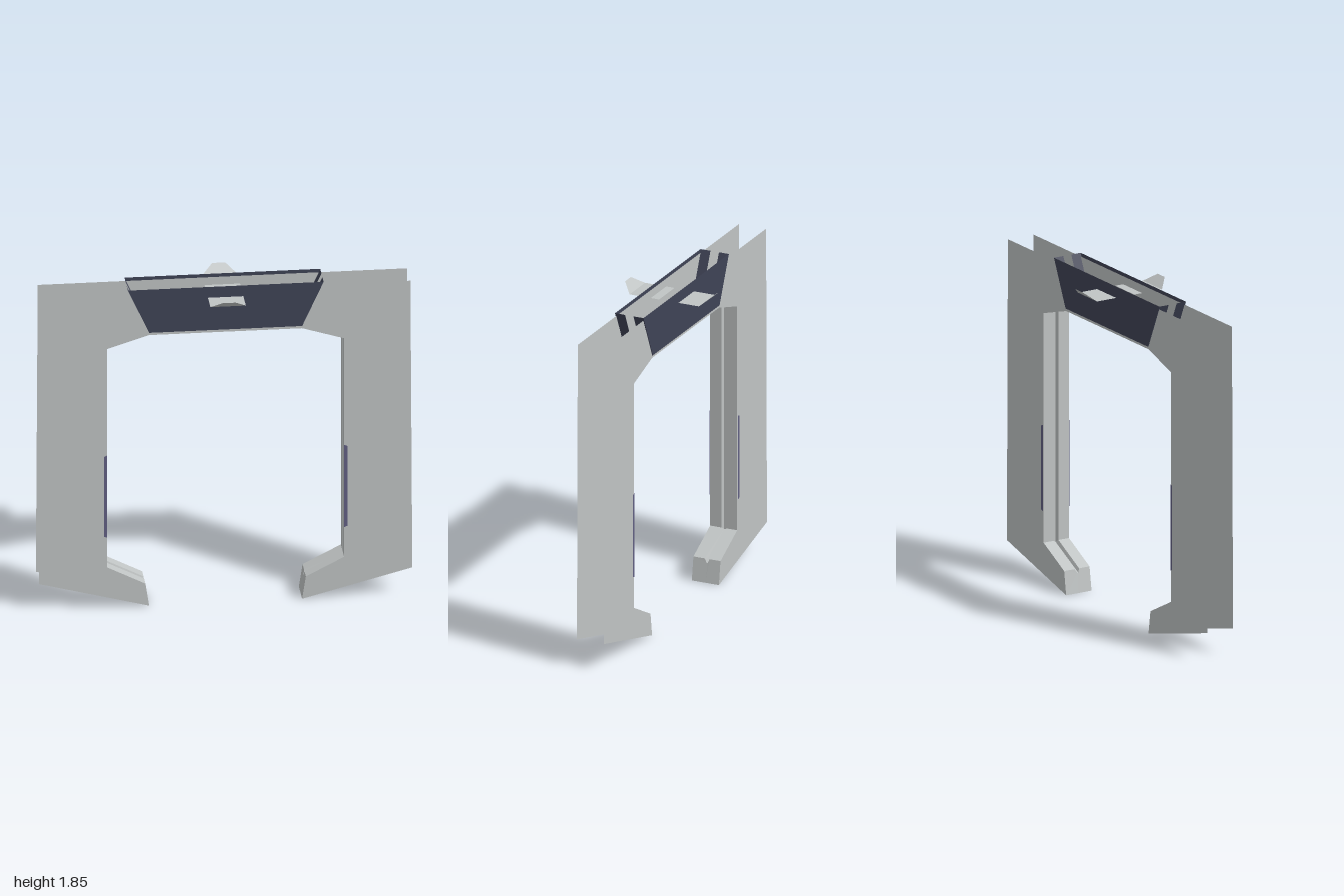
import * as THREE from 'three';

const mat = (name, color) => {
  const m = new THREE.MeshStandardMaterial({ color, side: THREE.DoubleSide });
  m.name = name;
  return m;
};

// Flat-shaded surface from convex polygons, each a list of [x, y, z] corners
function faces(name, polys, material) {
  const pos = [];
  for (const p of polys)
    for (let i = 1; i < p.length - 1; i++) pos.push(...p[0], ...p[i], ...p[i + 1]);
  const g = new THREE.BufferGeometry();
  g.setAttribute('position', new THREE.Float32BufferAttribute(pos, 3));
  g.computeVertexNormals();
  const mesh = new THREE.Mesh(g, material);
  mesh.name = name;
  return mesh;
}

// Completes a left-to-right half path with its mirror image
const mirrored = (half) => [...half, ...half.map(([x, y]) => [-x, y]).reverse()];

// Quads joining two equally long xy paths lying at two depths
const strip = (a, za, b, zb) => a.slice(1).map((p, i) => [
  [...a[i], za], [...b[i], zb], [...b[i + 1], zb], [...p, za],
]);

export function createModel() {
  const group = new THREE.Group();
  const grey = mat('light grey', 0xc0c4c4);
  const navy = mat('dark navy', 0x3f4356);
  const purple = mat('muted purple', 0x615f82);

  const D = 0.08; // half depth of the gate
  const lip = [[-0.43, 0.13], [-0.635, 0.235], [-0.635, 1.515], [-0.41, 1.585]];
  const inner = mirrored(lip);
  const groove = mirrored([[-0.427, 0.108], [-0.655, 0.222], [-0.655, 1.53], [-0.413, 1.602]]);

  // Front and back plates of the gate
  const outline = [
    ...mirrored([[-0.41, 0], ...lip]),
    [1, 0.155], [0.99, 1.835], [-0.99, 1.835], [-1, 0.155],
  ].map(([x, y]) => new THREE.Vector2(x, y));
  for (const s of [1, -1]) {
    const plate = new THREE.Mesh(new THREE.ShapeGeometry(new THREE.Shape(outline)), grey);
    plate.name = s > 0 ? 'frontPlate' : 'backPlate';
    plate.position.z = s * D;
    if (s < 0) plate.rotation.y = Math.PI;
    group.add(plate);
  }

  // Inner lining with a narrow groove running along its middle
  group.add(faces('innerLining', [
    ...strip(inner, D, inner, 0.014),
    ...strip(inner, 0.014, groove, 0.007),
    ...strip(groove, 0.007, groove, -0.007),
    ...strip(groove, -0.007, inner, -0.014),
    ...strip(inner, -0.014, inner, -D),
  ], grey));

  // Notched end faces of the feet
  for (const sx of [1, -1]) {
    const polys = [1, -1].map((sz) => {
      const p = [
        [0.41, 0, 0], [0.41, 0, D], [0.43, 0.13, D], [0.43, 0.13, 0.014],
        [0.427, 0.108, 0.007], [0.427, 0.108, 0],
      ].map(([x, y, z]) => [sx * x, y, sz * z]);
      return sx * sz > 0 ? p : p.reverse();
    });
    group.add(faces(sx > 0 ? 'leftFootEnd' : 'rightFootEnd', polys, grey));
  }

  const trough = [[-0.525, 1.853], [-0.41, 1.6], [0.41, 1.6], [0.525, 1.853]];
  for (const s of [1, -1]) {
    const side = s > 0 ? 'front' : 'back';
    const orient = (polys) => (s > 0 ? polys : polys.map((p) => [...p].reverse()));

    // Open-topped header panel: outer face, floor and sloping ends
    group.add(faces(side + 'HeaderPanel', orient([
      trough.map(([x, y]) => [x, y, s * 0.084]),
      ...strip(trough, s * 0.025, trough, s * 0.084).map((p) => p.reverse()),
    ]), navy));

    // Thin bracket: flat shelf with an upturned, tapering tip
    group.add(faces(side + 'Bracket', orient([
      [[-0.095, 1.79, s * 0.03], [-0.095, 1.79, s * 0.205], [0.095, 1.79, s * 0.205], [0.095, 1.79, s * 0.03]],
      [[-0.095, 1.79, s * 0.205], [-0.035, 1.835, s * 0.26], [0.035, 1.835, s * 0.26], [0.095, 1.79, s * 0.205]],
    ]), grey));

    // Narrow marker strips beside the opening
    for (const sx of [1, -1]) {
      const p = [[0.635, 0.41], [0.653, 0.418], [0.653, 0.885], [0.635, 0.893]]
        .map(([x, y]) => [sx * x, y, s * 0.084]);
      group.add(faces(side + (sx > 0 ? 'LeftMarker' : 'RightMarker'),
        [sx * s > 0 ? p : p.reverse()], purple));
    }
  }
  return group;
}
